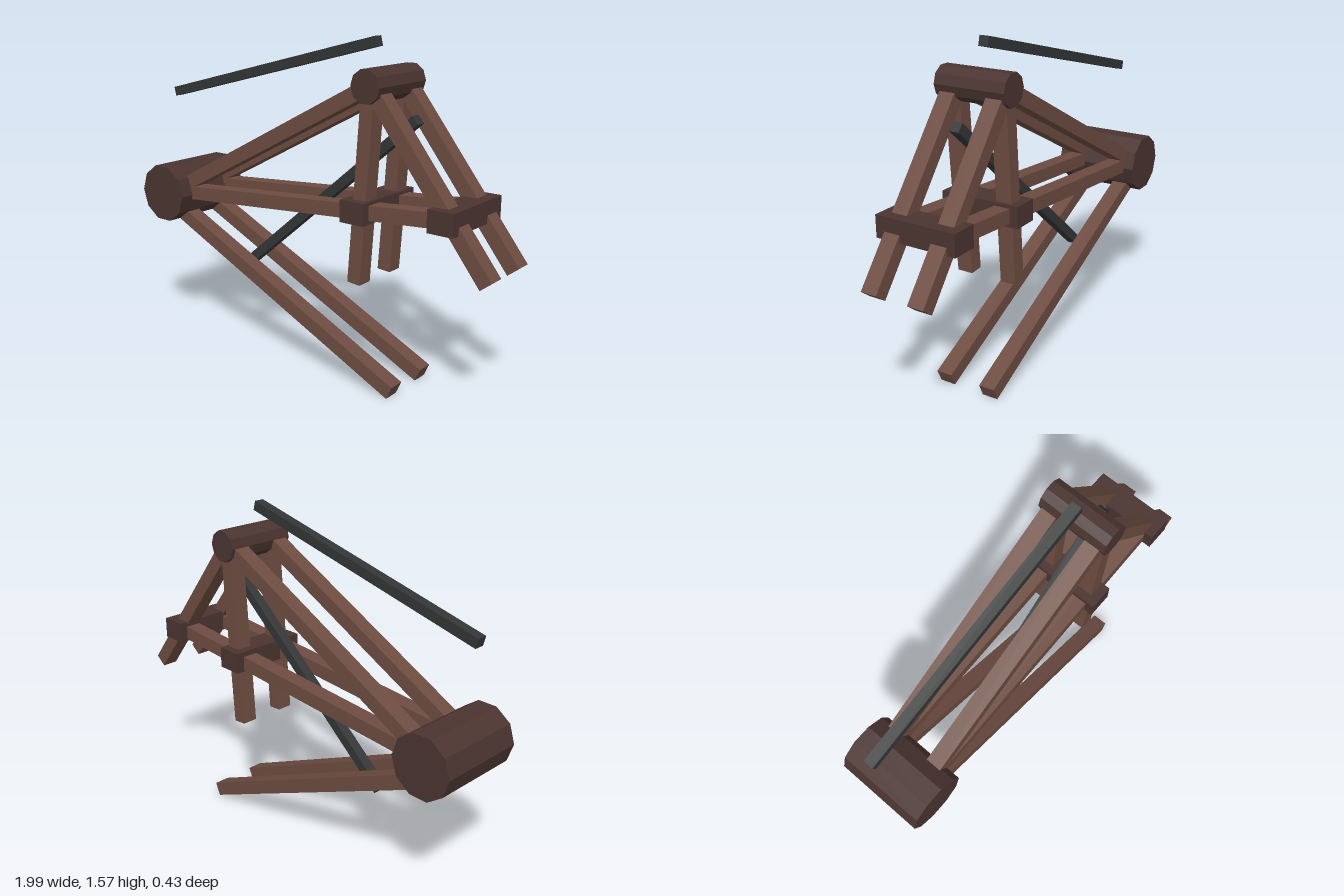
import * as THREE from 'three';

const material = (color) => new THREE.MeshStandardMaterial({ color, flatShading: true });

export function createModel() {
  const model = new THREE.Group();
  const wood = material(0x6d4c41);
  const darkWood = material(0x4a3430);
  const iron = material(0x333536);

  const add = (name, geometry, mat, x, y, z) => {
    const mesh = new THREE.Mesh(geometry, mat);
    mesh.name = name;
    mesh.position.set(x, y, z);
    model.add(mesh);
    return mesh;
  };

  // Square bar running between two points of a plane of constant z
  const bar = (name, [x1, y1], [x2, y2], z, thick, depth, mat) => {
    const length = Math.hypot(x2 - x1, y2 - y1);
    const mesh = add(name, new THREE.BoxGeometry(length, thick, depth), mat,
      (x1 + x2) / 2, (y1 + y2) / 2, z);
    mesh.rotation.z = Math.atan2(y2 - y1, x2 - x1);
  };

  // Ten-sided drum lying along z, with a corner pointing to each side
  const drum = (name, x, y, z, radius, length) => {
    const geometry = new THREE.CylinderGeometry(radius, radius, length, 10, 1, false, Math.PI / 2);
    geometry.rotateX(Math.PI / 2);
    add(name, geometry, darkWood, x, y, z);
  };

  // Pivot drums
  const rear = [-0.855, 0.745];
  const top = [0.377, 1.385];
  drum('rearDrum', ...rear, 0, 0.146, 0.43);
  drum('topDrum', ...top, -0.006, 0.075, 0.346);

  // Twin timbers on both sides
  for (const [side, z] of [['left', -0.124], ['right', 0.107]]) {
    const timber = (name, a, b) => bar(`${side}${name}`, a, b, z, 0.067, 0.077, wood);
    timber('UpperBeam', rear, top);
    timber('MiddleBeam', rear, [0.78, 0.875]);
    timber('LowerBeam', [-0.855, 0.663], [0.515, 0.04]);
    timber('FrontStrut', top, [0.963, 0.643]);
    timber('Post', top, [0.313, 0.508]);
  }

  // Cross blocks tying the two sides together
  add('postCrossBlock', new THREE.BoxGeometry(0.123, 0.1, 0.39), darkWood, 0.328, 0.843, -0.007);
  add('strutCrossBlock', new THREE.BoxGeometry(0.123, 0.1, 0.39), darkWood, 0.77, 0.878, -0.007);

  // Slim dark rods along the centre
  bar('upperRod', [-0.943, 1.238], [0.325, 1.559], 0, 0.045, 0.048, iron);
  bar('lowerRod', [-0.473, 0.395], [0.533, 1.244], 0, 0.045, 0.048, iron);

  return model;
}
